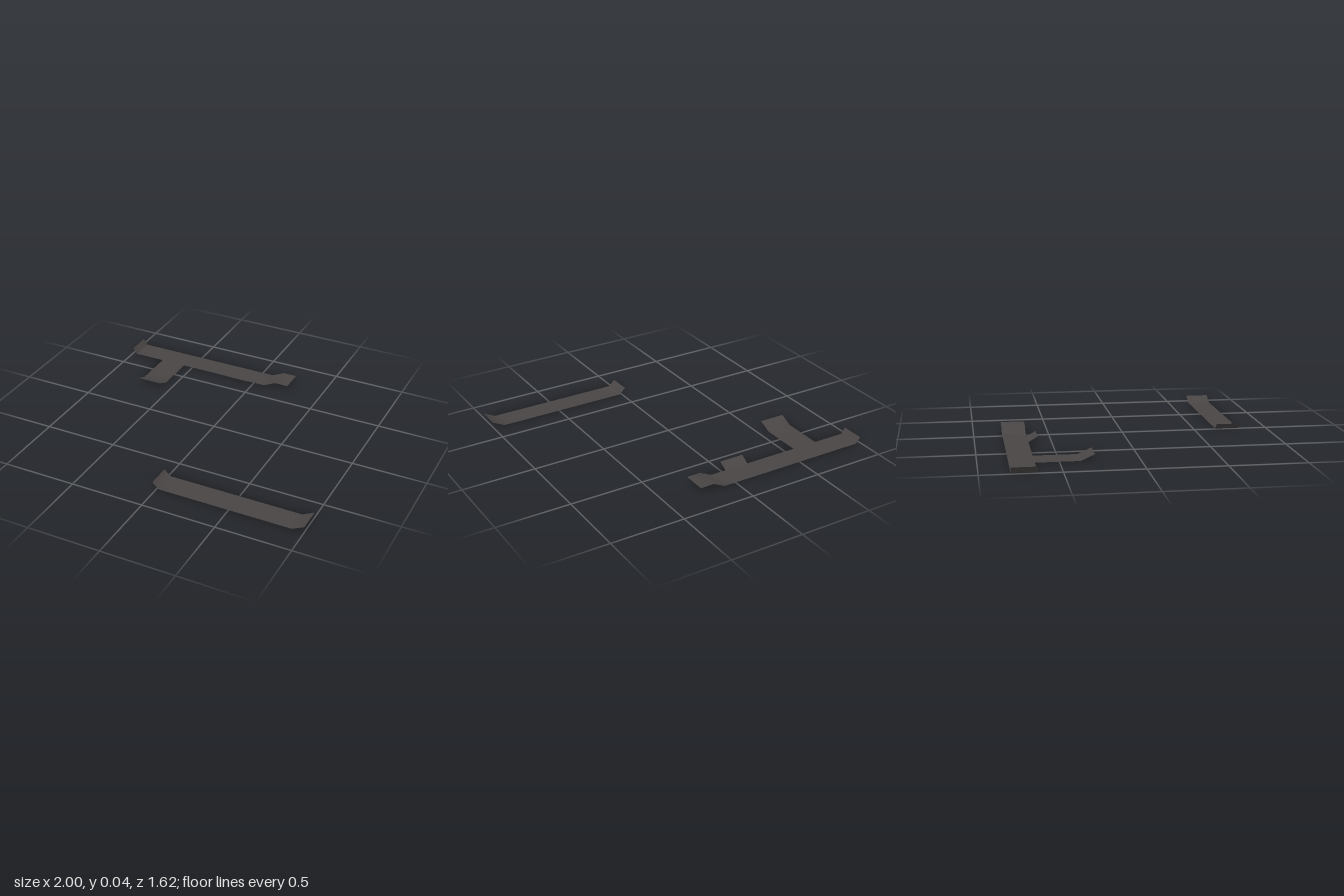
import * as THREE from 'three';
import { toCreasedNormals } from 'three/addons/utils/BufferGeometryUtils.js';

// Thin sheet following a profile of [x, y] stations, spanning z0 to z1.
function ribbon(profile, z0, z1) {
  const pos = [], index = [];
  profile.forEach(([x, y], i) => {
    pos.push(x, y, z0, x, y, z1);
    if (i > 0) {
      const a = 2 * (i - 1);
      index.push(a, a + 1, a + 3, a, a + 3, a + 2);
    }
  });
  const geo = new THREE.BufferGeometry();
  geo.setAttribute('position', new THREE.Float32BufferAttribute(pos, 3));
  geo.setIndex(index);
  return geo;
}

export function createModel() {
  const group = new THREE.Group();
  const darkGrey = new THREE.MeshStandardMaterial({ color: 0x494544, side: THREE.DoubleSide });
  darkGrey.name = 'dark grey';

  const add = (name, geo) => {
    const mesh = new THREE.Mesh(toCreasedNormals(geo, 0.8), darkGrey);
    mesh.name = name;
    group.add(mesh);
  };
  // Strips along x
  const along = (name, profile, z0, z1) => add(name, ribbon(profile, z0, z1));
  // Strips along z: the profile runs front-ward, the width spans x0 to x1
  const across = (name, profile, x0, x1) =>
    add(name, ribbon(profile, -x1, -x0).rotateY(-Math.PI / 2));

  // Front strip with both ends turned up
  along('frontStrip', [[-0.03, 0.04], [0.015, 0], [0.1, 0], [0.85, 0], [0.92, 0], [1, 0.04]], 0.65, 0.81);

  // Back strip: steep lip at one end, ramp and landing at the other
  along('backStrip',
    [[-1, 0.04], [-0.97, 0], [-0.9, 0], [0, 0], [0.08, 0], [0.165, 0.04], [0.26, 0.04]], -0.81, -0.65);

  // Side branch and short tab, both rising at the free end
  across('sideBranch', [[-0.65, 0], [-0.5, 0], [-0.37, 0], [-0.28, 0.04]], -0.75, -0.57);
  across('shortTab', [[-0.65, 0], [-0.59, 0.035]], -0.2, -0.03);

  return group;
}
